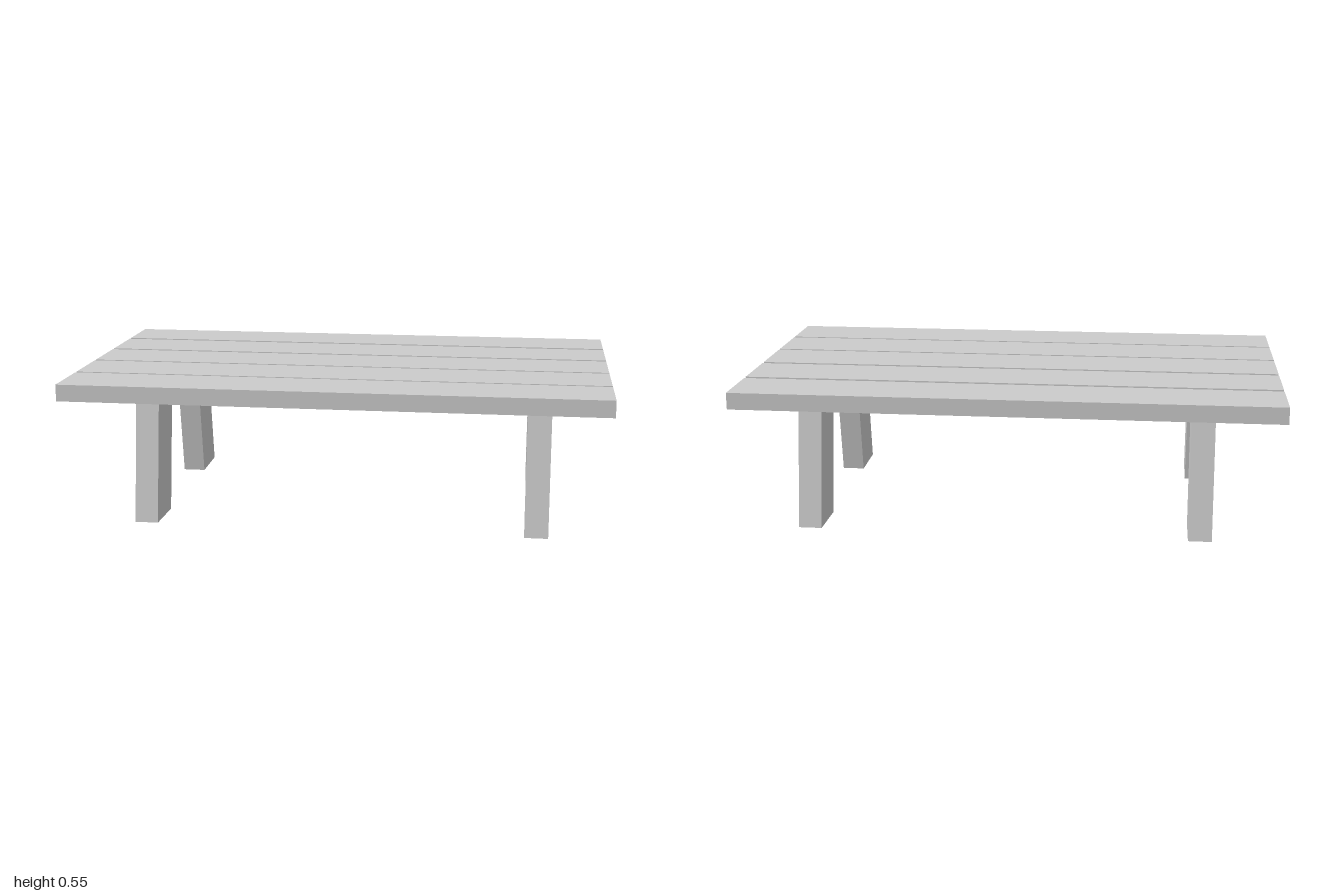
import * as THREE from 'three';

const material = new THREE.MeshStandardMaterial({ color: 0xcccccc, flatShading: true });

// Leaning leg: a parallelogram in the z-y plane, extruded along x
function makeLeg(x, side) {
  const width = 0.087;
  const shape = new THREE.Shape(
    [[0.278, 0], [0.471, 0.004], [0.39, 0.518], [0.197, 0.514]]
      .map(([z, y]) => new THREE.Vector2(z * side, y))
  );
  const geometry = new THREE.ExtrudeGeometry(shape, { depth: width, bevelEnabled: false });
  geometry.translate(0, 0, -width / 2).rotateY(-Math.PI / 2);
  const leg = new THREE.Mesh(geometry, material);
  leg.position.x = x;
  leg.name = side > 0 ? 'frontLeg' : 'backLeg';
  return leg;
}

export function createModel() {
  const table = new THREE.Group();
  table.name = 'plankTable';

  // Table top: five separate planks with narrow gaps
  const top = new THREE.Group();
  top.name = 'tableTop';
  const plankCentres = [0.479, 0.243, 0.006, -0.235, -0.478];
  for (const z of plankCentres) {
    const plank = new THREE.Mesh(new THREE.BoxGeometry(2, 0.062, 0.223), material);
    plank.position.set(0, 0.522, z);
    plank.name = 'plank';
    top.add(plank);
  }
  table.add(top);

  // Four legs, splayed to the front and the back
  for (const x of [-0.714, 0.744]) {
    for (const side of [1, -1]) table.add(makeLeg(x, side));
  }

  return table;
}
